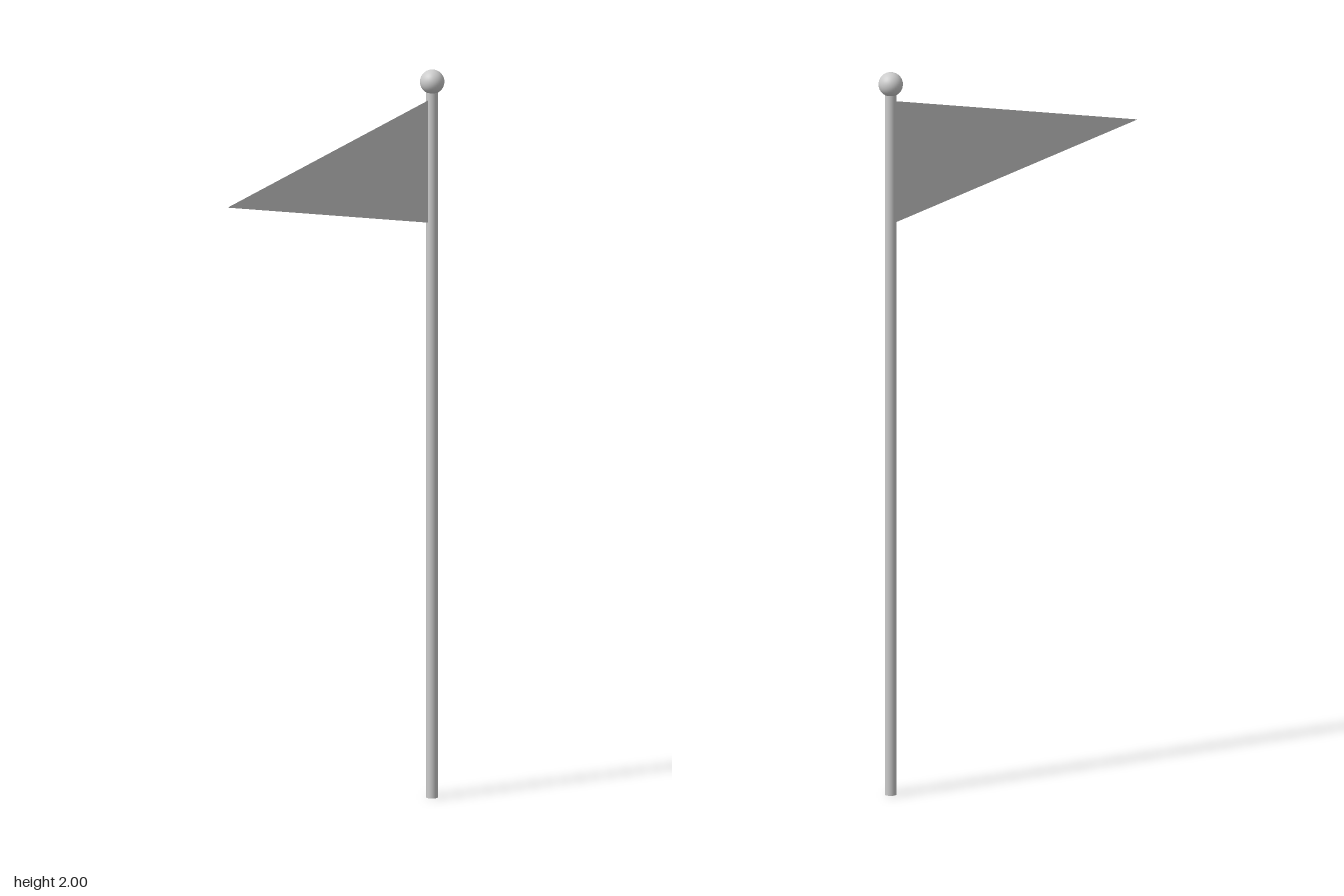
import * as THREE from 'three';

const POLE_Z = -0.395;
const POLE_RADIUS = 0.016;
const BALL_RADIUS = 0.033;

export function createModel() {
  const group = new THREE.Group();
  group.name = 'pennantFlag';
  const material = new THREE.MeshStandardMaterial({ color: 0xcccccc });
  const clothMaterial = new THREE.MeshStandardMaterial({ color: 0xcccccc, side: THREE.DoubleSide });

  const add = (name, geometry, y, z, mat = material) => {
    const mesh = new THREE.Mesh(geometry, mat);
    mesh.name = name;
    mesh.position.set(0, y, z);
    group.add(mesh);
  };

  // Slim round pole, running up into the ball
  const poleHeight = 1.95;
  add('pole', new THREE.CylinderGeometry(POLE_RADIUS, POLE_RADIUS, poleHeight, 24), poleHeight / 2, POLE_Z);

  // Ball on top of the pole
  add('finial', new THREE.SphereGeometry(BALL_RADIUS, 32, 20), 2 - BALL_RADIUS, POLE_Z);

  // Thin triangular pennant pointing forward from the pole's surface
  const flagStart = POLE_Z + POLE_RADIUS;
  const pennant = new THREE.Shape([
    new THREE.Vector2(0, -0.168),
    new THREE.Vector2(0.428 - flagStart, 0),
    new THREE.Vector2(0, 0.168),
  ]);
  add('pennant', new THREE.ShapeGeometry(pennant).rotateY(-Math.PI / 2), 1.75, flagStart, clothMaterial);

  return group;
}
